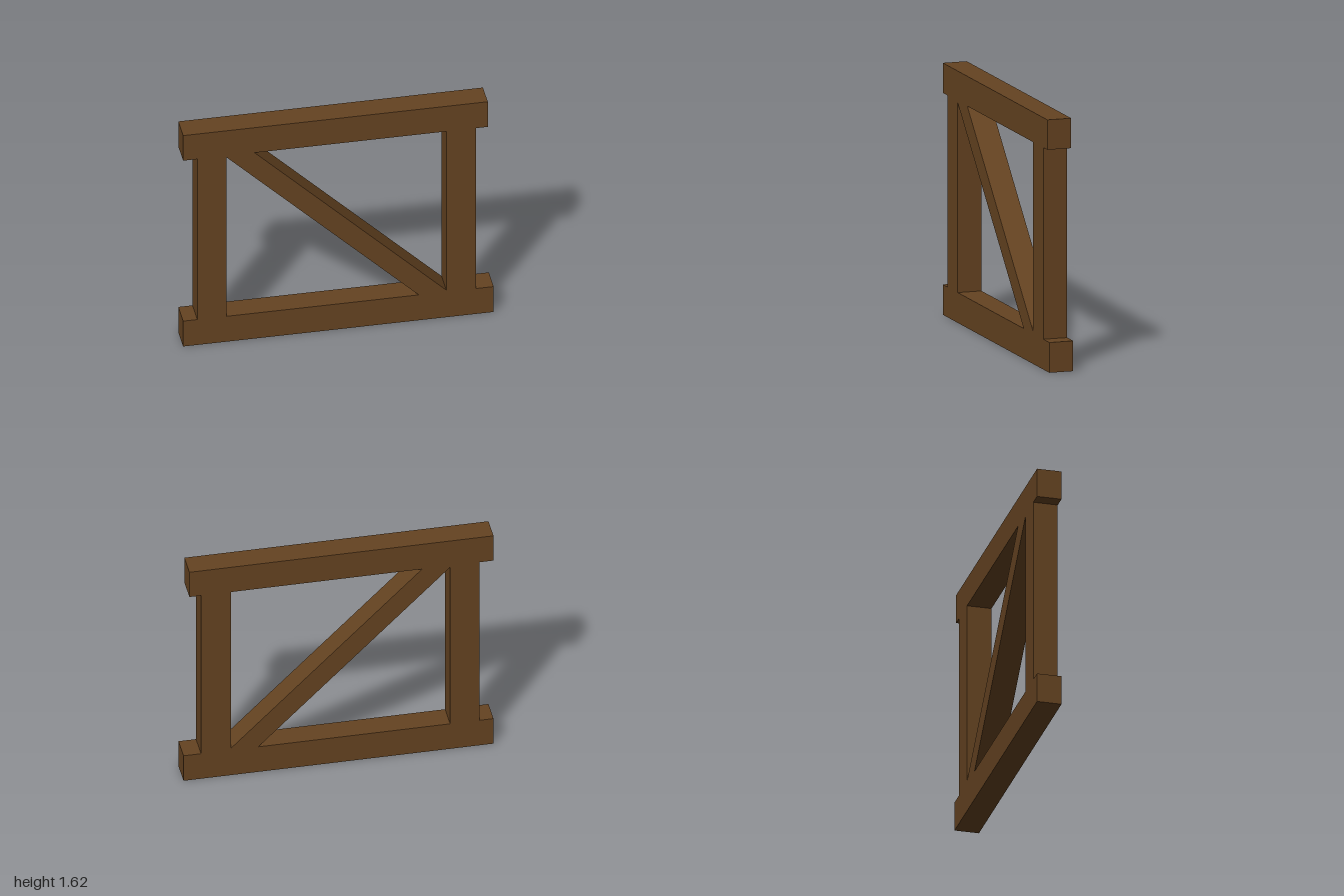
import * as THREE from 'three';

const DEPTH = 0.16;

export function createModel() {
  const model = new THREE.Group();
  model.name = 'timberFrame';
  const wood = new THREE.MeshStandardMaterial({ color: 0x654321 });
  wood.name = 'dark brown wood';

  // Shared levels and post edges
  const sillTop = 0.195, railBottom = 1.43, height = 1.623;
  const rightPostInner = -0.72, leftPostInner = 0.695;

  function beam(name, x0, x1, y0, y1) {
    const mesh = new THREE.Mesh(new THREE.BoxGeometry(x1 - x0, y1 - y0, DEPTH), wood);
    mesh.position.set((x0 + x1) / 2, (y0 + y1) / 2, 0);
    mesh.name = name;
    model.add(mesh);
  }

  // Horizontal beams; the top one is slightly shorter at one end
  beam('bottomBeam', -1, 1, 0, sillTop);
  beam('topBeam', -1, 0.962, railBottom, height);

  // Upright posts
  beam('rightPost', -0.909, rightPostInner, sillTop, railBottom);
  beam('leftPost', leftPostInner, 0.887, sillTop, railBottom);

  // Diagonal brace, with ends cut to fit the frame corners
  const outline = [
    [rightPostInner, railBottom], [rightPostInner, 1.418], [0.517, sillTop],
    [leftPostInner, sillTop], [leftPostInner, 0.208], [-0.54, railBottom],
  ].map(([x, y]) => new THREE.Vector2(x, y));
  const geometry = new THREE.ExtrudeGeometry(new THREE.Shape(outline), {
    depth: DEPTH, bevelEnabled: false,
  });
  geometry.translate(0, 0, -DEPTH / 2);
  const brace = new THREE.Mesh(geometry, wood);
  brace.name = 'diagonalBrace';
  model.add(brace);

  return model;
}
